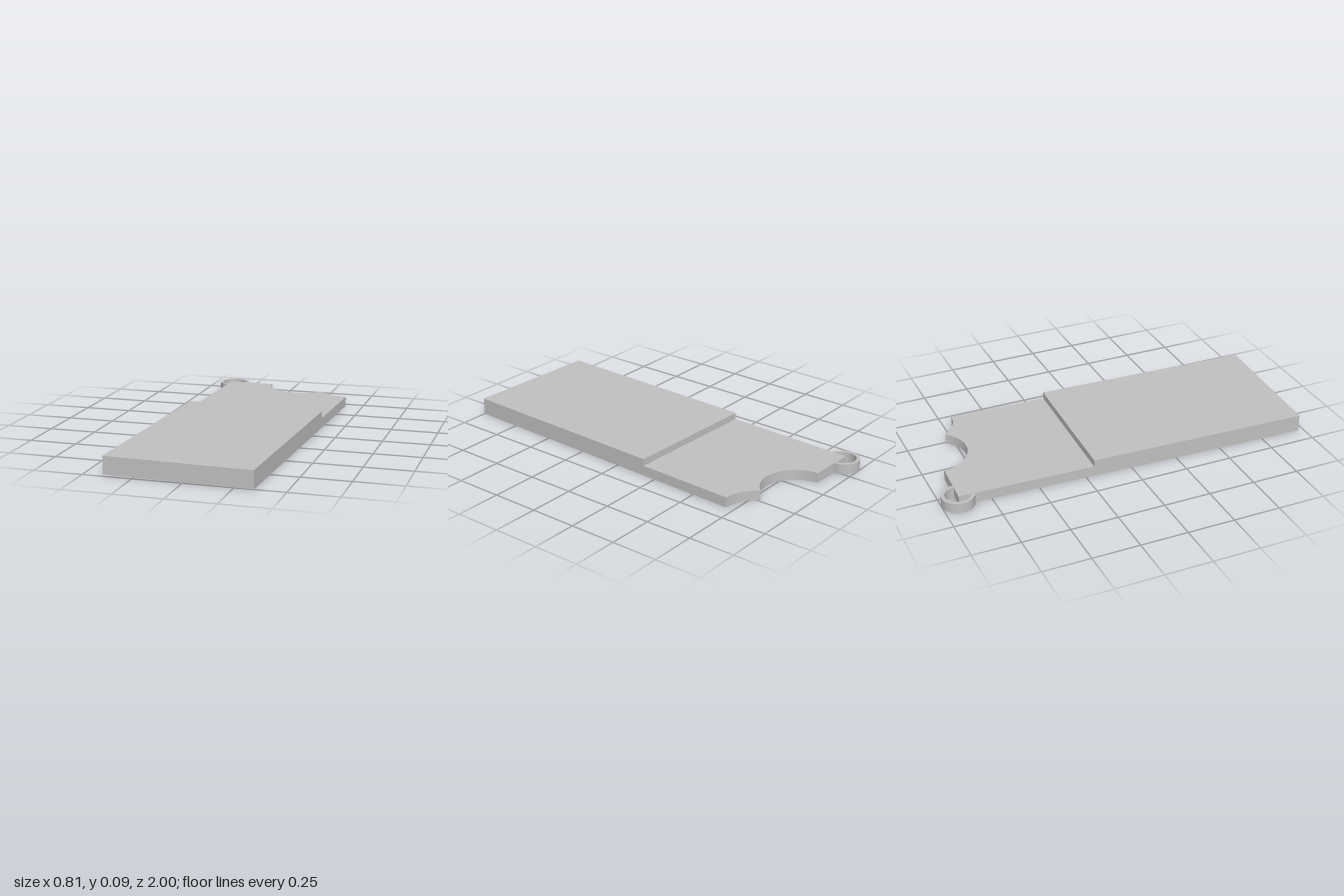
import * as THREE from 'three';
import { toCreasedNormals } from 'three/addons/utils/BufferGeometryUtils.js';

const LOW = 0.0545, HIGH = 0.0915;

// Shapes are drawn as (x, -z) and extruded upwards from height y0 to y1
function slab(name, shape, y0, y1, material) {
  const geo = new THREE.ExtrudeGeometry(shape, { depth: y1 - y0, bevelEnabled: false, curveSegments: 40 });
  geo.rotateX(-Math.PI / 2);
  geo.translate(0, y0, 0);
  const mesh = new THREE.Mesh(toCreasedNormals(geo, 0.5), material);
  mesh.name = name;
  return mesh;
}

// Clockwise scooped arc between two points of the outline
function scoop(shape, cx, cy, from, to) {
  const r = Math.hypot(from[0] - cx, from[1] - cy);
  const angle = (p) => Math.atan2(p[1] - cy, p[0] - cx);
  shape.absarc(cx, cy, r, angle(from), angle(to), true);
  shape.lineTo(...to);
}

export function createModel() {
  const grey = new THREE.MeshStandardMaterial({ color: 0xc0c0c0 });
  grey.name = 'light grey';
  const model = new THREE.Group();
  model.name = 'keyTag';

  const frontLeft = [-0.407, -0.97], frontRight = [0.345, -1];
  const stepRight = [0.386, 0.18], stepLeft = [-0.367, 0.207];
  const backRight = [0.404, 0.706], cusp = [0.24, 0.794];
  const notchEnd = [-0.087, 0.909], backLeft = [-0.341, 0.918];

  // Thin base plate with the two scooped notches in its back edge
  const base = new THREE.Shape();
  base.moveTo(...frontLeft);
  base.lineTo(...frontRight);
  base.lineTo(...backRight);
  scoop(base, 0.411, 0.916, backRight, cusp);
  scoop(base, 0.098, 0.919, cusp, notchEnd);
  base.lineTo(...backLeft);
  base.closePath();
  model.add(slab('basePlate', base, 0, LOW, grey));

  // Raised front section
  const raised = new THREE.Shape([frontLeft, frontRight, stepRight, stepLeft].map((p) => new THREE.Vector2(...p)));
  model.add(slab('raisedSection', raised, LOW, HIGH, grey));

  // Ring around the back corner
  const ring = new THREE.Shape();
  ring.absarc(-0.323, 0.916, 0.084, 0, Math.PI * 2);
  const hole = new THREE.Path();
  hole.absarc(-0.323, 0.916, 0.066, 0, Math.PI * 2, true);
  ring.holes.push(hole);
  model.add(slab('keyRing', ring, 0, LOW, grey));

  return model;
}
